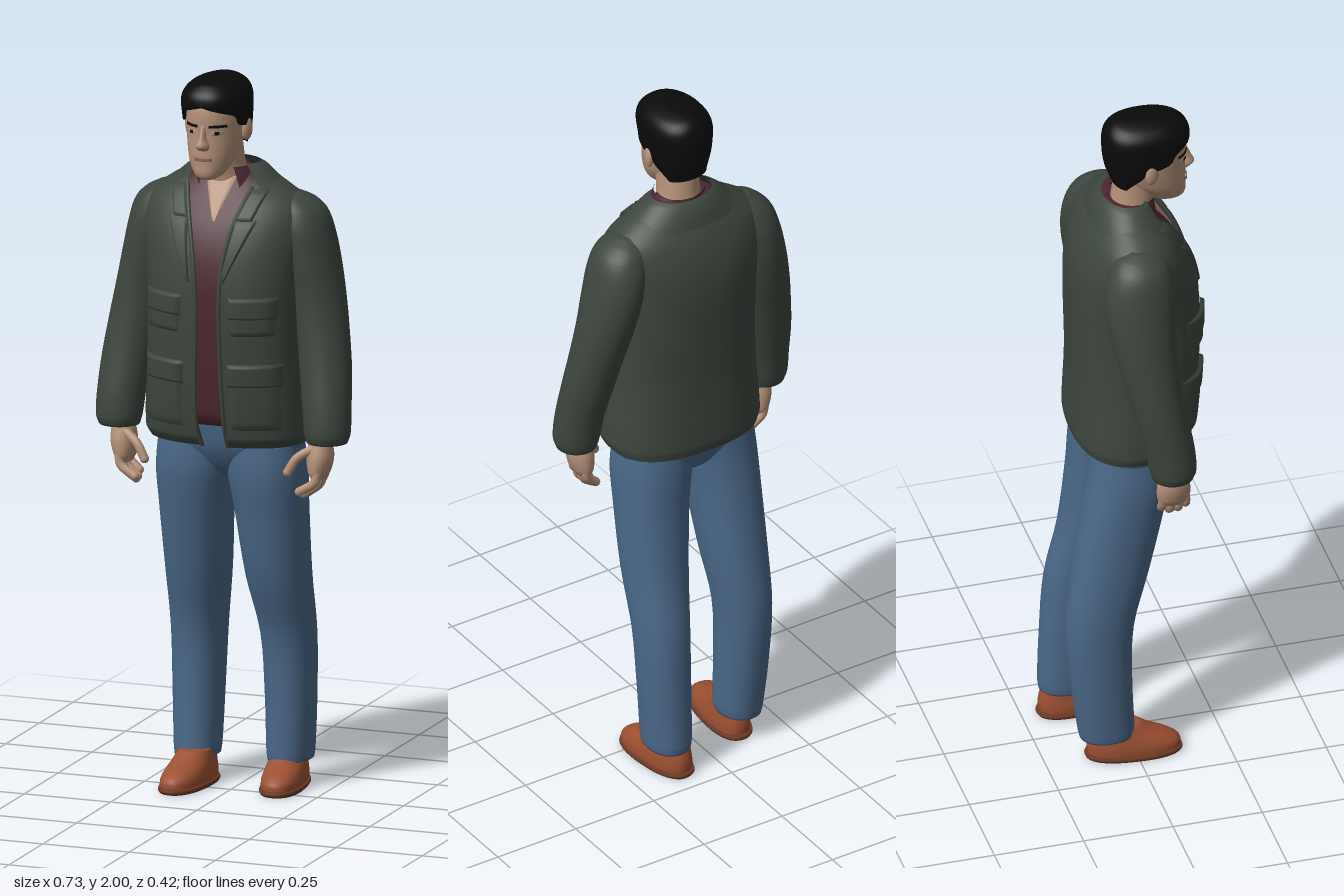
import * as THREE from 'three';

const mat = (name, color, side = THREE.FrontSide) => {
  const m = new THREE.MeshStandardMaterial({ color, side });
  m.name = name;
  return m;
};

// Rows are [y, xMin, xMax, zMin, zMax, power], rising in y; any y is read by smooth interpolation.
function rowAt(rows, y) {
  const last = rows.length - 1;
  if (y <= rows[0][0]) return rows[0];
  if (y >= rows[last][0]) return rows[last];
  let i = 0;
  while (rows[i + 1][0] < y) i++;
  const a = rows[i], b = rows[i + 1], p = rows[Math.max(i - 1, 0)], n = rows[Math.min(i + 2, last)];
  const h = b[0] - a[0], t = (y - a[0]) / h, t2 = t * t, t3 = t2 * t;
  return a.map((v, k) => {
    if (k === 0) return y;
    const m0 = (b[k] - p[k]) / (b[0] - p[0]) * h, m1 = (n[k] - v) / (n[0] - a[0]) * h;
    return (2 * t3 - 3 * t2 + 1) * v + (t3 - 2 * t2 + t) * m0 + (3 * t2 - 2 * t3) * b[k] + (t3 - t2) * m1;
  });
}

// Point on a superellipse section; angle 0 faces the front, growing towards +x.
function ringPoint([y, x0, x1, z0, z1, n = 2], a) {
  const pow = v => Math.sign(v) * Math.abs(v) ** (2 / n);
  return [(x0 + x1) / 2 + (x1 - x0) / 2 * pow(Math.sin(a)), y, (z0 + z1) / 2 + (z1 - z0) / 2 * pow(Math.cos(a))];
}

function frontZ(rows, x, y) {
  const [, x0, x1, z0, z1, n = 2] = rowAt(rows, y);
  const u = Math.min(1, Math.abs((2 * x - x0 - x1) / (x1 - x0)));
  return (z0 + z1) / 2 + (z1 - z0) / 2 * (1 - u ** n) ** (1 / n);
}

function surface(pos, idx) {
  const g = new THREE.BufferGeometry();
  g.setAttribute('position', new THREE.Float32BufferAttribute(pos, 3));
  g.setIndex(idx);
  g.computeVertexNormals();
  return g;
}

// Skin through the rows; gap(y) gives the start and end angles of an open front.
function loft(rows, { segs = 40, steps = 4, gap = null } = {}) {
  const ys = [];
  rows.forEach((r, i) => {
    if (i) for (let s = 1; s <= steps; s++) ys.push(rows[i - 1][0] + (r[0] - rows[i - 1][0]) * s / steps);
    else ys.push(r[0]);
  });
  const pos = [], idx = [], cols = gap ? segs + 1 : segs;
  ys.forEach((y, i) => {
    const [a0, a1] = gap ? gap(y) : [0, Math.PI * 2], r = rowAt(rows, y);
    for (let j = 0; j < cols; j++) pos.push(...ringPoint(r, a0 + (a1 - a0) * j / segs));
    if (i) for (let j = 0; j < segs; j++) {
      const p = (i - 1) * cols + j, q = (i - 1) * cols + (j + 1) % cols;
      idx.push(p, q, p + cols, q, q + cols, p + cols);
    }
  });
  if (!gap) [0, ys.length - 1].forEach((i, top) => {
    const r = rowAt(rows, ys[i]), c = pos.length / 3;
    pos.push((r[1] + r[2]) / 2, r[0], (r[3] + r[4]) / 2);
    for (let j = 0; j < segs; j++) {
      const p = i * cols + j, q = i * cols + (j + 1) % cols;
      idx.push(c, top ? p : q, top ? q : p);
    }
  });
  return surface(pos, idx);
}

// Raised pad on the front of a loft; corners run bottom left, bottom right, top right, top left.
function pad(rows, [bl, br, tr, tl], lift, base = 0.002, n = 12) {
  const pos = [], idx = [], mix = THREE.MathUtils.lerp;
  for (let i = 0; i <= n; i++) for (let j = 0; j <= n; j++) {
    const u = j / n, v = i / n;
    const x = mix(mix(bl[0], br[0], u), mix(tl[0], tr[0], u), v);
    const y = mix(mix(bl[1], br[1], u), mix(tl[1], tr[1], u), v);
    const edge = i % n === 0 || j % n === 0 ? 0 : 1;
    pos.push(x, y, frontZ(rows, x, y) + base + lift * edge);
    if (i && j) {
      const d = i * (n + 1) + j, c = d - 1, b = d - n - 1, a = b - 1;
      idx.push(a, b, c, b, d, c);
    }
  }
  return surface(pos, idx);
}

const tube = (pts, r) => new THREE.TubeGeometry(
  new THREE.CatmullRomCurve3(pts.map(p => new THREE.Vector3(...p))), 24, r, 10);
const mirrorRows = rows => rows.map(([y, a, b, ...rest]) => [y, -b, -a, ...rest]);
const mirrorPad = ([bl, br, tr, tl]) => [br, bl, tl, tr].map(([x, y]) => [-x, y]);
const box = (x0, x1, y0, y1) => [[x0, y0], [x1, y0], [x1, y1], [x0, y1]];

export function createModel() {
  const model = new THREE.Group();
  const green = mat('jacketGreen', 0x3d463e, THREE.DoubleSide), maroon = mat('shirtMaroon', 0x4c2630, THREE.DoubleSide);
  const denim = mat('denimBlue', 0x4a6888), skin = mat('skin', 0xb39078), black = mat('hairBlack', 0x0a0a0a, THREE.DoubleSide);
  const leather = mat('shoeLeather', 0x9c5032), sole = mat('soleBrown', 0x6e3a26);
  const white = mat('eyeWhite', 0xa09890), lip = mat('lipPink', 0x8f6254);
  const add = (name, geo, m, parent = model) => {
    const mesh = new THREE.Mesh(geo, m);
    mesh.name = name;
    parent.add(mesh);
    return mesh;
  };

  // Jacket body, open at the front
  const torso = [
    [0.99, -0.215, 0.222, -0.145, 0.155, 2.5], [1.02, -0.225, 0.232, -0.15, 0.175, 2.5], [1.2, -0.215, 0.222, -0.145, 0.195, 2.5],
    [1.4, -0.213, 0.218, -0.15, 0.2, 2.5], [1.5, -0.222, 0.222, -0.15, 0.188, 2.4], [1.58, -0.235, 0.23, -0.14, 0.163, 2.3],
    [1.65, -0.228, 0.222, -0.115, 0.125, 2.2], [1.70, -0.165, 0.16, -0.085, 0.092, 2.1], [1.725, -0.12, 0.115, -0.07, 0.077, 2],
    [1.74, -0.095, 0.09, -0.055, 0.065, 2]];
  const opening = [[0.99, -0.022, 0.052], [1.06, -0.03, 0.05], [1.4, -0.025, 0.042], [1.5, -0.036, 0.046],
    [1.6, -0.06, 0.062], [1.66, -0.08, 0.08], [1.7, -0.095, 0.092], [1.74, -0.09, 0.085]];
  const openAngle = (x, y) => {
    const [, x0, x1, , , n] = rowAt(torso, y), u = (2 * x - x0 - x1) / (x1 - x0);
    return Math.sign(u) * Math.asin(Math.min(0.97, Math.abs(u)) ** (n / 2));
  };
  const gap = y => {
    const [, xr, xl] = rowAt(opening, y);
    return [openAngle(xl, y), Math.PI * 2 + openAngle(xr, y)];
  };
  add('jacketBody', loft(torso, { segs: 64, gap }), green);
  for (const k of [1, 2]) {
    const pts = opening.slice(0, -1).map(o => [o[k], o[0], frontZ(torso, o[k], o[0])]);
    add('jacketFrontEdge', tube(pts, 0.006), green);
  }
  const collar = [[1.685, -0.178, 0.173, -0.097, 0.108, 2.1], [1.718, -0.138, 0.133, -0.086, 0.092, 2],
    [1.744, -0.108, 0.103, -0.07, 0.074, 2], [1.753, -0.092, 0.087, -0.058, 0.064, 2]];
  add('jacketCollar', loft(collar, { gap: () => [0.8, Math.PI * 2 - 0.8] }), green);

  // Lapels and pockets
  const lapel = [[0.045, 1.45], [0.052, 1.45], [0.128, 1.62], [0.068, 1.62]];
  const lapelTop = [[0.066, 1.615], [0.112, 1.615], [0.14, 1.695], [0.095, 1.695]];
  const pads = { lapel, lapelTop, chestPocket: box(0.075, 0.185, 1.31, 1.4), chestFlap: box(0.068, 0.19, 1.355, 1.415),
    lowerPocket: box(0.07, 0.195, 1.045, 1.2), lowerFlap: box(0.064, 0.2, 1.165, 1.23) };
  for (const [name, corners] of Object.entries(pads)) {
    const lift = name.endsWith('Flap') ? 0.011 : 0.007;
    add(name + 'Left', pad(torso, corners, lift), green);
    add(name + 'Right', pad(torso, mirrorPad(corners), lift), green);
  }

  // Shirt with open neck
  const e = 0.012;
  const shirt = torso.filter(r => r[0] > 1.1).map(([y, a, b, c, d, n]) => [y, a + e, b - e, c + e, d - e, n]);
  shirt.unshift([1.05, -0.205, 0.21, -0.13, 0.165, 2.5]);
  add('shirt', loft(shirt, { segs: 56 }), maroon);
  add('openNeck', pad(shirt, [[0, 1.61], [0.008, 1.61], [0.045, 1.73], [-0.048, 1.73]], 0.003), skin);
  const shirtCollar = [[1.69, -0.1, 0.095, -0.052, 0.095], [1.72, -0.088, 0.08, -0.046, 0.09], [1.748, -0.077, 0.064, -0.042, 0.086]];
  add('shirtCollar', loft(shirtCollar, { gap: () => [0.65, Math.PI * 2 - 0.65] }), maroon);

  // Sleeves and hands
  const sleeve = [
    [1.005, 0.245, 0.356, 0, 0.112], [1.03, 0.238, 0.364, -0.008, 0.12], [1.1, 0.23, 0.363, -0.02, 0.115],
    [1.2, 0.214, 0.356, -0.045, 0.098], [1.3, 0.195, 0.342, -0.068, 0.085], [1.4, 0.172, 0.325, -0.092, 0.08],
    [1.5, 0.15, 0.306, -0.108, 0.085], [1.58, 0.135, 0.288, -0.105, 0.085], [1.63, 0.13, 0.27, -0.088, 0.073],
    [1.66, 0.135, 0.24, -0.065, 0.055], [1.678, 0.16, 0.205, -0.03, 0.025]];
  const palm = [[0.905, 0.262, 0.298, 0.028, 0.098], [0.925, 0.252, 0.31, 0.018, 0.108], [0.965, 0.248, 0.32, 0.018, 0.108],
    [1.0, 0.252, 0.318, 0.028, 0.098], [1.03, 0.26, 0.315, 0.035, 0.09]];
  const fingers = [0.03, 0.052, 0.074, 0.095].map((z, i) => {
    const d = [0.012, 0, 0, 0.01][i];
    return [[0.287, 0.93, z], [0.28, 0.89 + d, z + 0.003], [0.25 - i * 0.004, 0.862 + d, z + 0.008]];
  });
  fingers.push([[0.272, 0.99, 0.085], [0.232, 0.965, 0.103], [0.207, 0.925, 0.11]]);
  for (const s of [1, -1]) {
    const side = s > 0 ? 'left' : 'right', hand = new THREE.Group();
    hand.name = side + 'Hand';
    model.add(hand);
    add(side + 'Sleeve', loft(s > 0 ? sleeve : mirrorRows(sleeve)), green);
    add('palm', loft(s > 0 ? palm : mirrorRows(palm), { segs: 24 }), skin, hand);
    for (const f of fingers) {
      const pts = f.map(([x, y, z]) => [x * s, y, z]);
      add('finger', tube(pts, 0.0125), skin, hand);
      add('fingertip', new THREE.SphereGeometry(0.0125, 12, 8), skin, hand).position.set(...pts[2]);
    }
  }

  // Jeans
  add('hips', loft([[0.875, -0.05, 0.05, -0.05, 0.035, 2], [0.91, -0.13, 0.13, -0.09, 0.07, 2.2],
    [0.96, -0.195, 0.197, -0.115, 0.1, 2.4], [1.0, -0.205, 0.207, -0.12, 0.112, 2.4], [1.1, -0.195, 0.2, -0.11, 0.13, 2.4]]), denim);
  const legX = [[0.075, 0.068, 0.186], [0.1, 0.065, 0.189], [0.25, 0.062, 0.197], [0.43, 0.055, 0.203],
    [0.6, 0.032, 0.206], [0.8, 0.011, 0.209], [0.9, -0.004, 0.21], [1.0, -0.015, 0.2]];
  const leftZ = [[-0.198, -0.04], [-0.201, -0.038], [-0.195, -0.034], [-0.182, -0.015], [-0.147, 0.045], [-0.125, 0.086], [-0.12, 0.103], [-0.11, 0.1]];
  const rightZ = [[-0.155, -0.006], [-0.16, -0.005], [-0.18, -0.012], [-0.193, -0.008], [-0.174, 0.036], [-0.14, 0.083], [-0.122, 0.102], [-0.11, 0.1]];
  const leg = zs => legX.map((r, i) => [...r, ...zs[i], 2.2]);
  add('leftLeg', loft(leg(leftZ)), denim);
  add('rightLeg', loft(mirrorRows(leg(rightZ))), denim);

  // Shoes
  const upper = [[0.012, -0.055, 0.055, -0.125, 0.13, 2.4], [0.035, -0.056, 0.056, -0.127, 0.127, 2.3], [0.055, -0.053, 0.053, -0.125, 0.1, 2.2],
    [0.075, -0.049, 0.049, -0.12, 0.055, 2.1], [0.1, -0.045, 0.045, -0.115, 0.015, 2]];
  const outsole = [[0, -0.056, 0.056, -0.129, 0.13, 2.4], [0.007, -0.06, 0.06, -0.133, 0.135, 2.4], [0.015, -0.058, 0.058, -0.13, 0.133, 2.4]];
  for (const [name, x, z, turn] of [['leftShoe', 0.127, -0.077, 0.12], ['rightShoe', -0.122, -0.005, -0.08]]) {
    const shoe = new THREE.Group();
    shoe.name = name;
    shoe.position.set(x, 0, z);
    shoe.rotation.y = turn;
    add('upper', loft(upper), leather, shoe);
    add('outsole', loft(outsole, { steps: 2 }), sole, shoe);
    model.add(shoe);
  }

  // Neck and head
  add('neck', loft([[1.68, -0.075, 0.065, -0.042, 0.075], [1.75, -0.066, 0.05, -0.033, 0.09], [1.82, -0.068, 0.045, -0.025, 0.115]]), skin);
  const head = [[1.726, -0.035, 0.005, 0.105, 0.15], [1.737, -0.053, 0.023, 0.07, 0.168], [1.77, -0.073, 0.043, 0.03, 0.17],
    [1.80, -0.083, 0.053, -0.005, 0.171], [1.85, -0.091, 0.061, -0.03, 0.168], [1.9, -0.093, 0.063, -0.04, 0.17],
    [1.94, -0.09, 0.06, -0.04, 0.16], [1.975, -0.06, 0.03, -0.01, 0.12]];
  add('head', loft(head), skin);
  const nose = [[1.812, -0.03, 0, 0.15, 0.178], [1.825, -0.034, 0.004, 0.14, 0.196], [1.845, -0.026, -0.004, 0.14, 0.188], [1.88, -0.023, -0.007, 0.14, 0.173]];
  add('nose', loft(nose, { segs: 20 }), skin);
  add('mouth', pad(head, box(-0.04, 0.01, 1.781, 1.791), 0.003, 0.001), lip);
  for (const s of [1, -1]) {
    const cx = -0.015, span = (a, b, y0, y1) => s > 0 ? box(cx + a, cx + b, y0, y1) : box(cx - b, cx - a, y0, y1);
    add('eye', pad(head, span(0.024, 0.05, 1.855, 1.864), 0.002, 0.001), white);
    add('iris', pad(head, span(0.031, 0.043, 1.855, 1.864), 0.002, 0.003), black);
    add('eyebrow', pad(head, span(0.016, 0.058, 1.874, 1.882), 0.003, 0.001), black);
    const ear = add('ear', new THREE.SphereGeometry(1, 16, 12), skin);
    ear.scale.set(0.012, 0.032, 0.02);
    ear.position.set(cx + s * 0.083, 1.855, 0.055);
    ear.rotation.y = -s * 0.3;
  }

  // Hair cap, cut away around the face and ears
  const hair = [[1.80, -0.078, 0.048, -0.035, 0.04, 2], [1.85, -0.1, 0.07, -0.053, 0.15, 2.1], [1.9, -0.106, 0.074, -0.06, 0.173, 2.2],
    [1.95, -0.104, 0.072, -0.058, 0.178, 2.3], [1.98, -0.084, 0.054, -0.042, 0.156, 2.2], [1.995, -0.05, 0.02, -0.01, 0.12, 2],
    [2.0, -0.0151, -0.0149, 0.0549, 0.0551, 2]];
  const hairline = [[1.8, 1.9], [1.845, 1.7], [1.862, 1.65], [1.875, 1.15], [1.905, 0.95], [1.918, 0.5], [1.93, 0]];
  add('hair', loft(hair, { segs: 48, steps: 8, gap: y => {
    const a = Math.max(0, rowAt(hairline, y)[1]);
    return [a, Math.PI * 2 - a];
  } }), black);

  return model;
}
